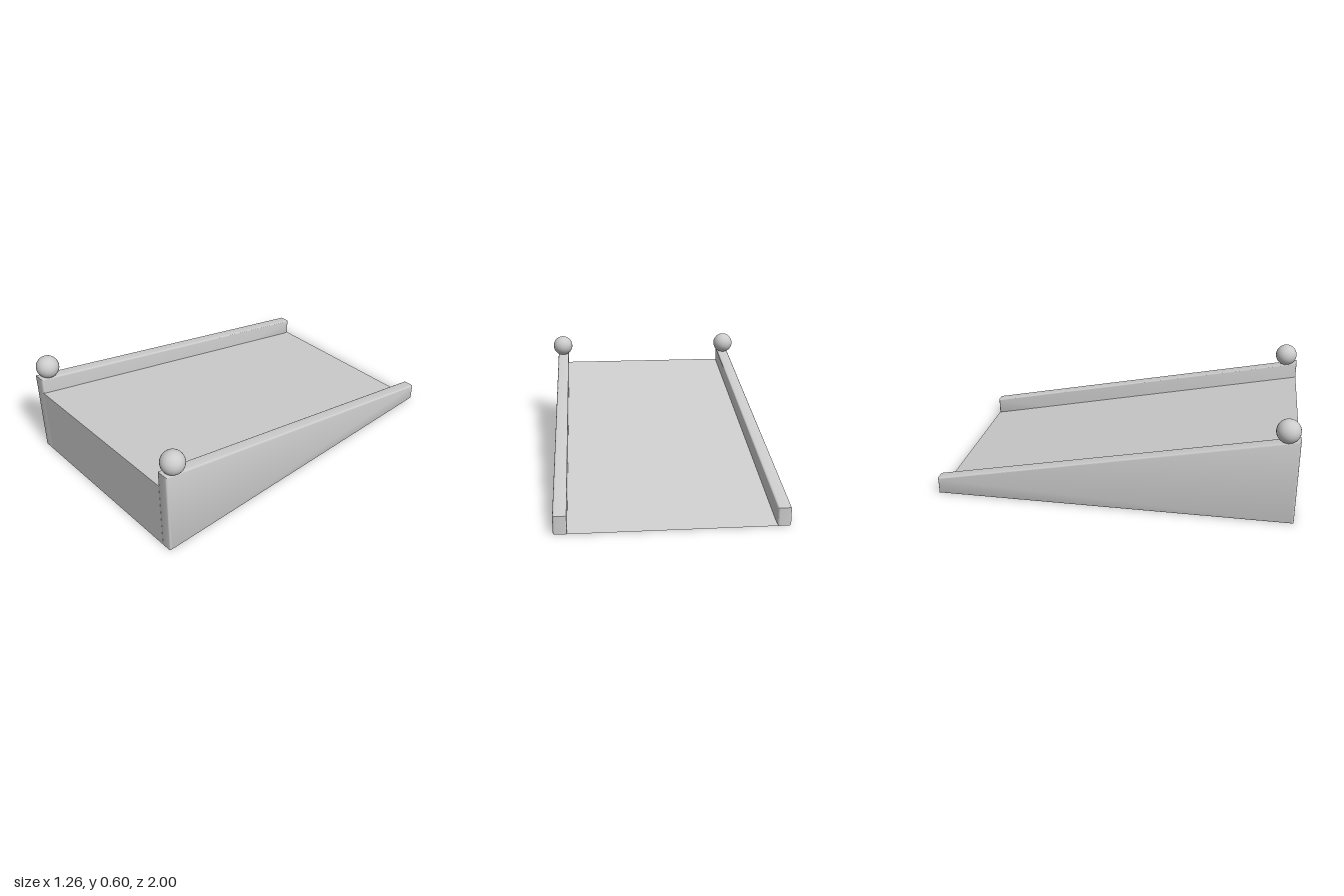
import * as THREE from 'three';
import { toCreasedNormals } from 'three/addons/utils/BufferGeometryUtils.js';

// Extrudes a side profile of [z, y] points across x, from x0 to x1
function extrudeAcross(points, x0, x1, bevel = 0) {
  const shape = new THREE.Shape(points.map(([z, y]) => new THREE.Vector2(-z, y)));
  const geometry = new THREE.ExtrudeGeometry(shape, {
    depth: x1 - x0 - 2 * bevel,
    bevelEnabled: bevel > 0,
    bevelThickness: bevel,
    bevelSize: bevel,
    bevelOffset: -bevel,
    bevelSegments: 4,
  });
  geometry.rotateY(Math.PI / 2);
  geometry.translate(x0 + bevel, 0, 0);
  return toCreasedNormals(geometry, 0.6);
}

export function createModel() {
  const group = new THREE.Group();
  const grey = new THREE.MeshStandardMaterial({ color: 0xcccccc });
  grey.name = 'lightGrey';

  const add = (name, geometry) => {
    const mesh = new THREE.Mesh(geometry, grey);
    mesh.name = name;
    group.add(mesh);
    return mesh;
  };

  // Sloping wedge between the side walls
  add('ramp', extrudeAcross([[1, 0], [-1, 0], [1, 0.4]], -0.535, 0.535));

  // Side walls with softened edges, each with a ball at the high end
  const wallProfile = [[1, 0], [-1, 0], [-1, 0.097], [1, 0.493]];
  for (const [side, sign] of [['left', 1], ['right', -1]]) {
    const centre = sign * 0.564;
    add(side + 'Wall', extrudeAcross(wallProfile, centre - 0.035, centre + 0.035, 0.01));
    add(side + 'Ball', new THREE.SphereGeometry(0.065, 32, 20))
      .position.set(sign * 0.567, 0.535, 0.932);
  }

  return group;
}
